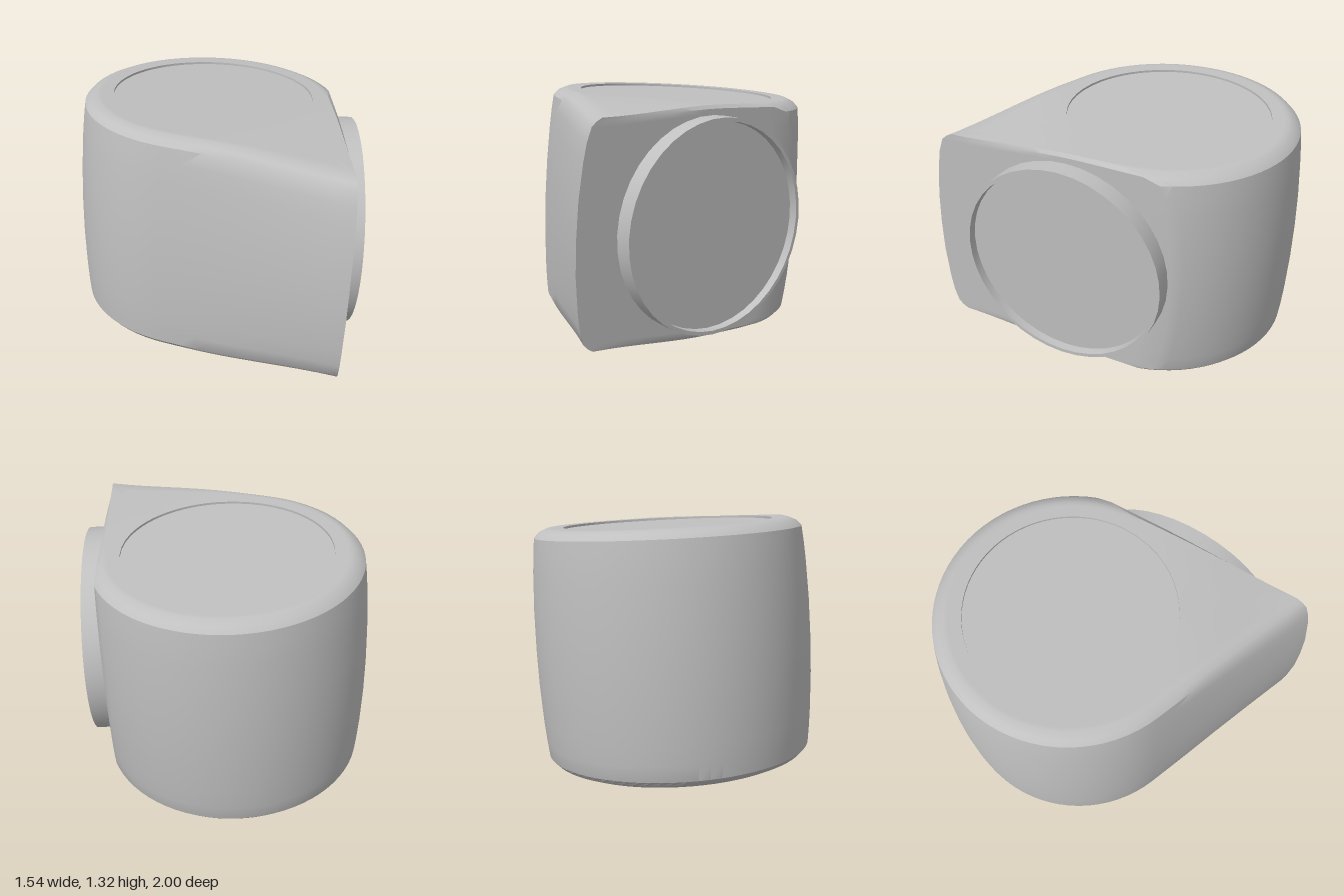
import * as THREE from 'three';
import { toCreasedNormals } from 'three/addons/utils/BufferGeometryUtils.js';

const CX = -0.03, CZ = -0.265;            // centre of the round part
const FACE = Math.atan2(0.83, 0.56);      // heading of the flat face
const NX = Math.sin(FACE), NZ = Math.cos(FACE);
const PLANE = 0.49;                       // distance of the flat face from the axis
const HALF = 0.625;
const ARC = 48, SIDE = 10;

// Ends slope down a little towards the pointed edge
function slope(z) {
  return 1 - 0.08 * THREE.MathUtils.smoothstep(z, 0.25, 0.95);
}

// Teardrop section: arc, tangent side to the tip, then the flat side back
function section(y, r, tipZ) {
  const tx = (PLANE - NZ * tipZ) / NX;
  const dx = tx - CX, dz = tipZ - CZ;
  const heading = Math.atan2(dx, dz), spread = Math.acos(r / Math.hypot(dx, dz));
  const d = PLANE - NX * CX - NZ * CZ;
  const start = r > d ? FACE + Math.acos(d / r) : heading + spread;
  const end = heading + Math.PI * 2 - spread;
  const pts = [];
  for (let i = 0; i <= ARC; i++) {
    const a = start + (end - start) * i / ARC;
    pts.push([CX + r * Math.sin(a), CZ + r * Math.cos(a)]);
  }
  const first = pts[0], last = pts[ARC];
  const mix = (a, b, t) => [a[0] + (b[0] - a[0]) * t, a[1] + (b[1] - a[1]) * t];
  for (let i = 1; i <= SIDE; i++) pts.push(mix(last, [tx, tipZ], i / SIDE));
  for (let i = 1; i < SIDE; i++) pts.push(mix([tx, tipZ], first, i / SIDE));
  return pts.map(([x, z]) => new THREE.Vector3(x, y * slope(z), z));
}

// Rings from the rim of an end to its centre, with an optional shallow recess
function capRings(rim, sign, recess) {
  const circle = rim.map(p => {
    const l = Math.hypot(p.x - CX, p.z - CZ);
    return new THREE.Vector3(CX + (p.x - CX) / l * 0.55, sign * HALF, CZ + (p.z - CZ) / l * 0.55);
  });
  const rings = [0.25, 0.5, 0.75, 1].map(t => rim.map((p, i) => {
    const q = p.clone().lerp(circle[i], t);
    q.y = sign * HALF * slope(q.z);
    return q;
  }));
  const floor = sign * (HALF - recess);
  if (recess) rings.push(circle.map(p => new THREE.Vector3(p.x, floor, p.z)));
  rings.push(circle.map(() => new THREE.Vector3(CX, floor, CZ)));
  return rings;
}

function bodyGeometry() {
  // height, radius, tip position
  const upper = [[0.2, 0.732, 0.996], [0.4, 0.722, 0.98], [0.5, 0.714, 0.967],
    [0.58, 0.705, 0.947], [0.607, 0.68, 0.925], [HALF, 0.64, 0.9]];
  const walls = [
    ...upper.slice().reverse().map(([y, r, t]) => section(-y, r, t)),
    section(0, 0.735, 1.0),
    ...upper.map(([y, r, t]) => section(y, r, t)),
  ];
  const rings = [
    ...capRings(walls[0], -1, 0).reverse(),
    ...walls,
    ...capRings(walls[walls.length - 1], 1, 0.012),
  ];
  const n = rings[0].length, pos = [], index = [];
  rings.forEach(ring => ring.forEach(p => pos.push(p.x, p.y, p.z)));
  for (let k = 0; k < rings.length - 1; k++) {
    for (let i = 0; i < n; i++) {
      const a = k * n + i, b = k * n + (i + 1) % n;
      if (k > 0) index.push(a, b, b + n);
      if (k < rings.length - 2) index.push(a, b + n, a + n);
      else if (k === rings.length - 2) continue;
    }
  }
  const g = new THREE.BufferGeometry();
  g.setAttribute('position', new THREE.Float32BufferAttribute(pos, 3));
  g.setIndex(index);
  return toCreasedNormals(g, 0.6);
}

export function createModel() {
  const model = new THREE.Group();
  model.name = 'model';
  const grey = new THREE.MeshStandardMaterial({ color: 0xc0c0c0 });
  grey.name = 'light grey';

  // Everything leans slightly to one side
  const leaning = new THREE.Group();
  leaning.name = 'leaningBody';
  leaning.position.y = 0.66;
  leaning.rotation.z = -0.055;
  model.add(leaning);

  const body = new THREE.Mesh(bodyGeometry(), grey);
  body.name = 'teardropBody';
  leaning.add(body);

  // Raised round rim on the flat face, with a sunken disc inside
  const profile = [[0, 0.055], [0.55, 0.055], [0.553, 0.1], [0.573, 0.1], [0.573, -0.03]]
    .map(([r, y]) => new THREE.Vector2(r, y)).reverse();
  const rim = new THREE.Mesh(toCreasedNormals(new THREE.LatheGeometry(profile, 40), 0.6), grey);
  rim.name = 'faceRim';
  rim.rotation.x = Math.PI / 2;
  const mount = new THREE.Group();
  mount.name = 'faceMount';
  mount.position.set(0.368, 0, 0.33);
  mount.rotation.y = FACE;
  mount.add(rim);
  leaning.add(mount);

  return model;
}
